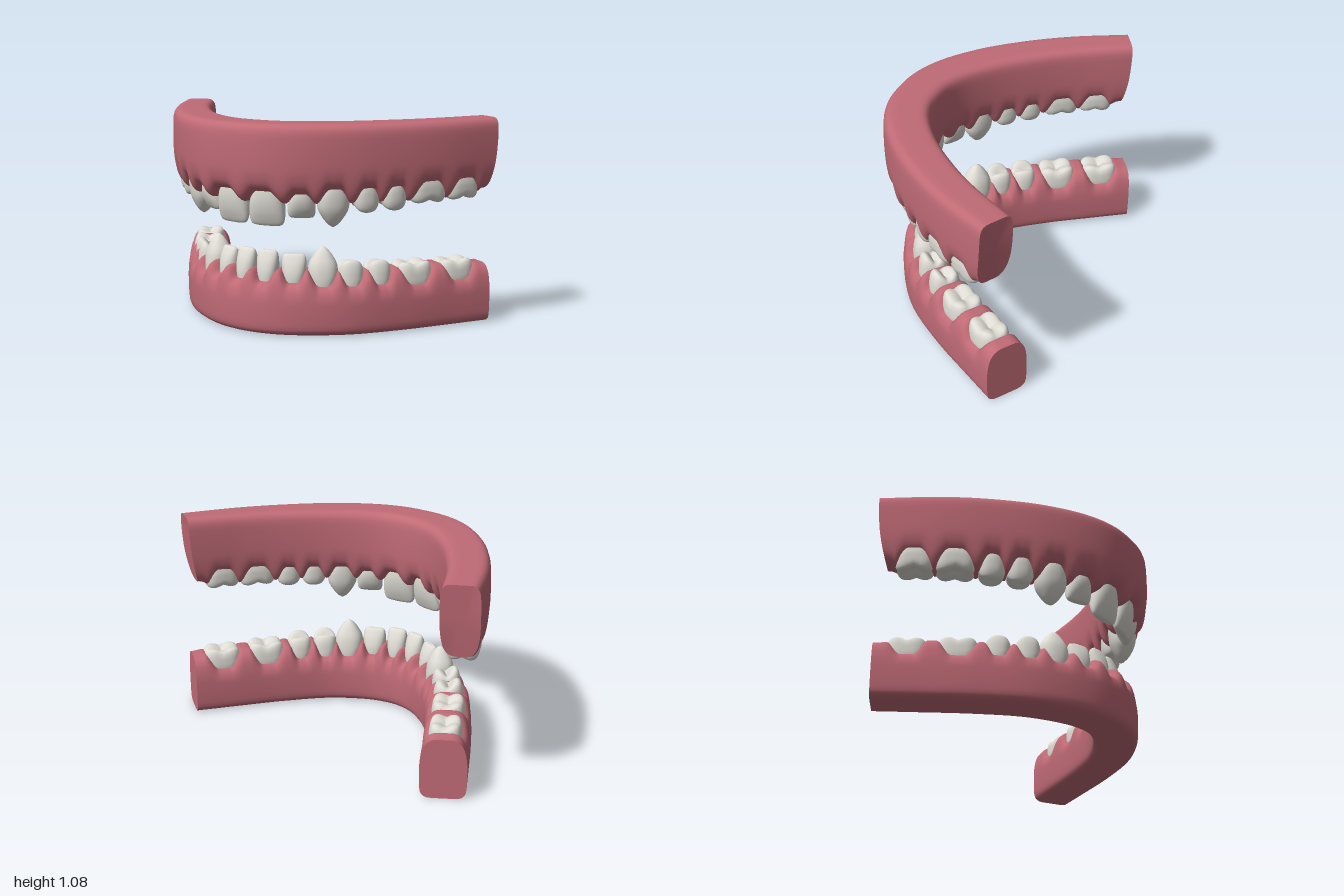
import * as THREE from 'three';

// Closed-section loft: fn(row 0..1, col 0..1) -> Vector3, optional flat end caps
function loft(rows, cols, fn, caps) {
  const pos = [], idx = [];
  for (let j = 0; j <= rows; j++)
    for (let i = 0; i < cols; i++) pos.push(...fn(j / rows, i / cols).toArray());
  for (let j = 0; j < rows; j++)
    for (let i = 0; i < cols; i++) {
      const a = j * cols + i, b = j * cols + (i + 1) % cols;
      idx.push(a, a + cols, b, b, a + cols, b + cols);
    }
  if (caps) for (const end of [0, 1]) {
    const start = pos.length / 3, centre = new THREE.Vector3();
    for (let i = 0; i < cols; i++) {
      const p = fn(end, i / cols);
      centre.addScaledVector(p, 1 / cols);
      pos.push(...p.toArray());
    }
    pos.push(...centre.toArray());
    for (let i = 0; i < cols; i++) {
      const a = start + i, b = start + (i + 1) % cols;
      idx.push(start + cols, end ? b : a, end ? a : b);
    }
  }
  const g = new THREE.BufferGeometry();
  g.setAttribute('position', new THREE.Float32BufferAttribute(pos, 3));
  g.setIndex(idx);
  g.computeVertexNormals();
  return g;
}

const smooth = THREE.MathUtils.smoothstep, lerp = THREE.MathUtils.lerp;
const curve3 = (pts, closed = false) =>
  new THREE.CatmullRomCurve3(pts.map(p => new THREE.Vector3(...p)), closed);

// Tooth profiles from root to tip: [height, width, depth]
const PROFILES = {
  incisor: [[-.4, .6, .8], [0, .8, 1], [.3, .94, 1], [.6, 1, .82], [.85, .97, .52], [.96, .86, .34], [1, .62, .2], [1, 0, 0]],
  canine: [[-.4, .6, .8], [0, .8, 1], [.25, .98, 1], [.5, .95, .9], [.75, .64, .62], [.92, .3, .3], [1, 0, 0]],
  premolar: [[-.7, .75, .85], [0, .88, 1], [.3, 1, 1], [.55, .98, .95], [.7, .84, .8], [.72, .5, .5], [.68, 0, 0]],
  molar: [[-.8, .78, .85], [0, .9, 1], [.3, 1, 1], [.55, .99, .96], [.7, .87, .83], [.72, .5, .5], [.68, 0, 0]],
};
const ridge = t => Math.sin(Math.PI * Math.min(Math.abs(t) / 1.1, 1));

function cuspLift(type, x, z) {
  if (type === 'molar') return .16 * (ridge(x) + ridge(z));
  if (type === 'premolar') return (z > 0 ? .36 : .24) * ridge(z) * (1 - .8 * x * x);
  return 0;
}

function toothGeometry(type, width, depth, height) {
  const profile = curve3(PROFILES[type]);
  const power = type === 'molar' ? .65 : .85;
  const round = c => Math.sign(c) * Math.abs(c) ** power;
  return loft(24, 28, (r, c) => {
    const p = profile.getPoint(r), a = c * Math.PI * 2;
    const x = Math.max(p.y, 0) * round(Math.cos(a)), z = Math.max(p.z, 0) * round(Math.sin(a));
    const y = p.x + smooth(p.x, .3, .7) * cuspLift(type, x, z);
    return new THREE.Vector3(x * width / 2, y * height, z * depth / 2);
  });
}

// Gum cross-section: [outward, base to crest]
const HALF_SECTION = [[.5, 0], [.8, .025], [.96, .1], [1, .28], [1, .5], [.97, .66], [.86, .84], [.66, .95], [.35, 1]];
const SECTION = curve3([
  [0, 0, 0], ...HALF_SECTION.map(([u, v]) => [u, v, 0]),
  [0, 1, 0], ...HALF_SECTION.map(([u, v]) => [-u, v, 0]).reverse(),
], true);

// Half arches; teeth: [name, type, x, width, depth, margin, tip], heights measured from the gum base
const UPPER = {
  name: 'upper', base: 1.08, dir: -1, mid: .2, papilla: .4, endCrest: .365, hw: [.122, .095], shear: .045,
  path: [[0, .402], [.13, .39], [.27, .335], [.45, .205], [.62, .025], [.76, -.165], [.915, -.437]],
  teeth: [
    ['CentralIncisor', 'incisor', .1, .19, .12, .335, .52],
    ['LateralIncisor', 'incisor', .265, .14, .12, .345, .475],
    ['Canine', 'canine', .395, .165, .15, .325, .525],
    ['FirstPremolar', 'premolar', .515, .14, .155, .325, .44],
    ['SecondPremolar', 'premolar', .61, .14, .16, .325, .435],
    ['FirstMolar', 'molar', .72, .205, .17, .315, .41],
    ['SecondMolar', 'molar', .825, .195, .165, .315, .405],
  ],
};
const LOWER = {
  name: 'lower', base: 0, dir: 1, mid: .16, papilla: .328, endCrest: .308, hw: [.12, .115], shear: 0,
  path: [[0, .34], [.11, .325], [.225, .28], [.41, .15], [.59, -.065], [.75, -.3], [.865, -.473]],
  teeth: [
    ['CentralIncisor', 'incisor', .063, .115, .11, .26, .42],
    ['LateralIncisor', 'incisor', .195, .125, .11, .26, .405],
    ['Canine', 'canine', .32, .155, .145, .25, .447],
    ['FirstPremolar', 'premolar', .427, .135, .15, .25, .37],
    ['SecondPremolar', 'premolar', .522, .135, .155, .25, .363],
    ['FirstMolar', 'molar', .638, .2, .17, .24, .342],
    ['SecondMolar', 'molar', .775, .2, .165, .24, .335],
  ],
};

function buildJaw(spec, gumMaterial, toothMaterial) {
  const jaw = new THREE.Group();
  jaw.name = spec.name + 'Jaw';
  const path = curve3([
    ...spec.path.slice(1).reverse().map(([x, z]) => [-x, 0, z]),
    ...spec.path.map(([x, z]) => [x, 0, z]),
  ]);
  path.arcLengthDivisions = 600;
  const length = path.getLength();
  const frame = t => {
    const p = path.getPointAt(t), tan = path.getTangentAt(t);
    return { p, tan, out: new THREE.Vector3(-tan.z, 0, tan.x).normalize() };
  };
  const paramAtX = x => {
    let lo = 0, hi = 1;
    for (let k = 0; k < 30; k++) {
      const m = (lo + hi) / 2;
      if (path.getPointAt(m).x < x) lo = m; else hi = m;
    }
    return lo;
  };

  // Teeth, mirrored on both sides
  const sockets = [];
  for (const side of [1, -1])
    for (const [name, type, x, width, depth, margin, tip] of spec.teeth) {
      const t = paramAtX(side * x), { p, out } = frame(t);
      const up = new THREE.Vector3(0, spec.dir, 0);
      const tooth = new THREE.Mesh(toothGeometry(type, width, depth, tip - margin), toothMaterial);
      tooth.name = spec.name + (side > 0 ? 'Left' : 'Right') + name;
      tooth.quaternion.setFromRotationMatrix(
        new THREE.Matrix4().makeBasis(new THREE.Vector3().crossVectors(up, out), up, out));
      tooth.position.set(p.x, spec.base + spec.dir * margin, p.z);
      jaw.add(tooth);
      sockets.push({ t, half: width / 2 / length * 1.04, margin: margin + .008 });
    }

  // Gum crest dips at each tooth and rises between them
  const crestAt = t => {
    const top = lerp(spec.papilla, spec.endCrest, smooth(Math.abs(t - .5), .44, .5));
    let crest = top;
    for (const s of sockets) {
      const d = Math.abs(t - s.t) / s.half;
      if (d < 1) crest = Math.min(crest, lerp(s.margin, top, smooth(d, .3, 1)));
    }
    return crest;
  };
  const gum = new THREE.Mesh(loft(260, 52, (r, c) => {
    const { p, tan, out } = frame(r), s = SECTION.getPoint(spec.dir > 0 ? c : 1 - c);
    const v = THREE.MathUtils.clamp(s.y, 0, 1), e = Math.abs(r - .5) * 2;
    const h = v < .5 ? v * 2 * spec.mid : lerp(spec.mid, crestAt(r), v * 2 - 1);
    const pull = -Math.sign(r - .5) * spec.shear * v * v * smooth(e, .9, 1);
    return p.clone().addScaledVector(out, s.x * lerp(spec.hw[0], spec.hw[1], e * e))
      .addScaledVector(tan, pull).setY(spec.base + spec.dir * h);
  }, true), gumMaterial);
  gum.name = spec.name + 'Gum';
  jaw.add(gum);
  return jaw;
}

export function createModel() {
  const gumPink = new THREE.MeshStandardMaterial({ color: 0xc06b76 });
  gumPink.name = 'gumPink';
  const toothIvory = new THREE.MeshStandardMaterial({ color: 0xdfddd5 });
  toothIvory.name = 'toothIvory';
  const model = new THREE.Group();
  model.name = 'dentalArches';
  model.add(buildJaw(UPPER, gumPink, toothIvory), buildJaw(LOWER, gumPink, toothIvory));
  return model;
}
